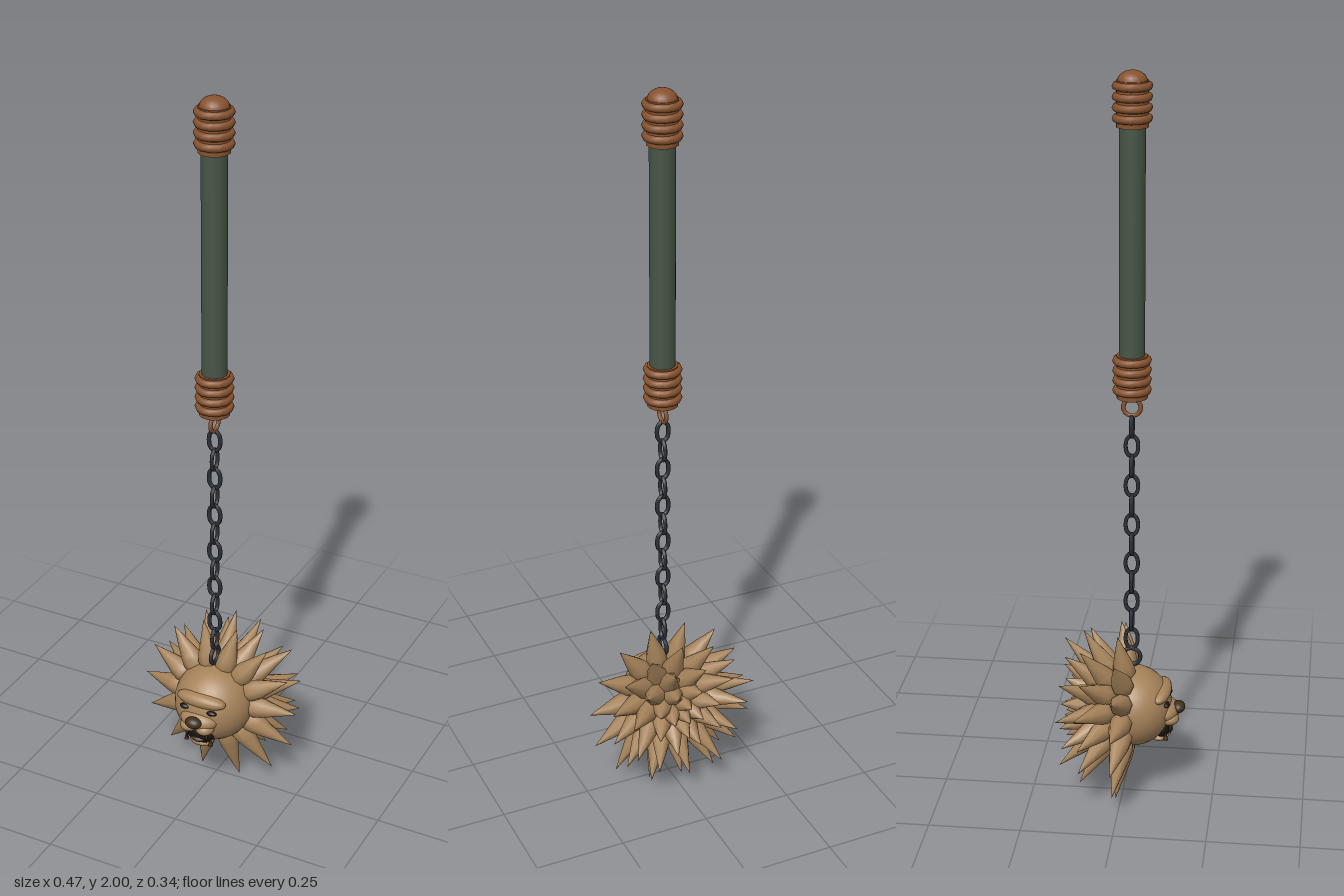
import * as THREE from 'three';

const mat = (name, color) => {
  const m = new THREE.MeshStandardMaterial({ color });
  m.name = name;
  return m;
};

export function createModel() {
  const leather = mat('brown leather', 0x87522e);
  const green = mat('green grip', 0x465545);
  const iron = mat('dark iron', 0x2b3038);
  const fur = mat('tan', 0xa6835a);
  const nose = mat('dark brown', 0x3f301d);
  const black = mat('mouth black', 0x17130f);

  const model = new THREE.Group();
  model.name = 'flail';
  const CX = 0.006, CZ = 0.023;

  const add = (parent, name, geo, material, x = 0, y = 0, z = 0) => {
    const m = new THREE.Mesh(geo, material);
    m.name = name;
    m.position.set(x, y, z);
    parent.add(m);
    return m;
  };
  const blob = (parent, name, material, p, s) => {
    const m = add(parent, name, new THREE.SphereGeometry(1, 20, 14), material, ...p);
    m.scale.set(...s);
    return m;
  };

  // Handle: grip, two wound collars and a domed end
  const handle = new THREE.Group();
  handle.name = 'handle';
  handle.position.set(CX, 0, CZ);
  model.add(handle);
  add(handle, 'grip', new THREE.CylinderGeometry(0.0335, 0.0335, 0.66, 20), green, 0, 1.565, 0);
  for (const [name, base] of [['lowerCollar', 1.155], ['upperCollar', 1.86]]) {
    add(handle, name, new THREE.CylinderGeometry(0.041, 0.041, 0.115, 14), leather, 0, base + 0.0575, 0);
    for (let i = 0; i < 4; i++) {
      const band = add(handle, name + 'Band', new THREE.TorusGeometry(0.041, 0.0105, 8, 14), leather, 0, base + 0.022 + i * 0.0265, 0);
      band.rotation.x = Math.PI / 2;
    }
  }
  blob(handle, 'endDome', leather, [0, 1.972, 0], [0.038, 0.028, 0.038]);
  const eye = add(handle, 'handleRing', new THREE.TorusGeometry(0.023, 0.006, 8, 18), leather, 0, 1.128, 0);
  eye.rotation.y = Math.PI / 2;

  // Chain of alternating oval links
  const chain = new THREE.Group();
  chain.name = 'chain';
  chain.position.set(CX, 0, CZ);
  model.add(chain);
  const linkPath = new THREE.CatmullRomCurve3(
    [[0, 0.029], [0.0125, 0.02], [0.0165, 0], [0.0125, -0.02], [0, -0.029], [-0.0125, -0.02], [-0.0165, 0], [-0.0125, 0.02]]
      .map(([x, y]) => new THREE.Vector3(x, y, 0)), true);
  const linkGeo = new THREE.TubeGeometry(linkPath, 24, 0.0058, 6, true);
  for (let i = 0; i < 12; i++) {
    const link = add(chain, 'chainLink', linkGeo, iron, 0, 1.076 - i * 0.0555, 0);
    link.rotation.y = (i % 2) * Math.PI / 2;
  }
  const staple = add(chain, 'headRing', new THREE.TorusGeometry(0.024, 0.006, 8, 18), iron, 0, 0.412, 0);
  staple.rotation.y = Math.PI / 2;

  // Head: ball with a beast's face in front
  const head = new THREE.Group();
  head.name = 'head';
  head.position.set(CX, 0.265, CZ);
  model.add(head);
  add(head, 'ball', new THREE.SphereGeometry(0.112, 28, 20), fur);
  const brow = blob(head, 'brow', fur, [0, 0.047, 0.08], [0.074, 0.023, 0.031]);
  brow.rotation.x = -0.3;
  blob(head, 'muzzle', fur, [0, -0.008, 0.094], [0.055, 0.029, 0.037]);
  blob(head, 'nose', nose, [0, 0.001, 0.13], [0.024, 0.016, 0.018]);
  blob(head, 'mouth', black, [0, -0.058, 0.085], [0.042, 0.03, 0.024]);
  blob(head, 'lowerJaw', fur, [0, -0.086, 0.078], [0.034, 0.013, 0.026]);
  blob(head, 'tongue', nose, [0, -0.068, 0.098], [0.022, 0.009, 0.017]);
  for (const s of [-1, 1]) {
    blob(head, 'cheek', fur, [s * 0.024, -0.024, 0.106], [0.026, 0.018, 0.027]);
    blob(head, 'eye', black, [s * 0.041, 0.026, 0.1], [0.015, 0.007, 0.009]);
    const upper = add(head, 'upperFang', new THREE.ConeGeometry(0.007, 0.034, 8), nose, s * 0.03, -0.054, 0.11);
    upper.rotation.x = Math.PI;
    add(head, 'lowerFang', new THREE.ConeGeometry(0.007, 0.028, 8), nose, s * 0.037, -0.07, 0.098);
  }

  // Mane of leaf-shaped spikes in rings: [backward tilt, count, length, thickness, turn, droop]
  const mane = new THREE.Group();
  mane.name = 'mane';
  head.add(mane);
  const rings = [
    [8, 14, 0.238, 0.031, 0, 1],
    [31, 14, 0.25, 0.031, Math.PI / 14, 0],
    [47, 11, 0.25, 0.031, 0.15, 0],
    [62, 8, 0.208, 0.03, 0.4, 0],
    [76, 4, 0.186, 0.027, 0.1, 0],
    [90, 1, 0.178, 0.024, 0, 0],
  ];
  const up = new THREE.Vector3(0, 1, 0);
  for (const [tilt, count, len, r, turn, droop] of rings) {
    const t = THREE.MathUtils.degToRad(tilt);
    for (let i = 0; i < count; i++) {
      const a = turn + (i / count) * Math.PI * 2;
      const s = Math.sin(a);
      // the outer ring hangs a little longer below
      const L = len * (1 + droop * (0.07 * s * s - 0.08 * s) + (1 - droop) * 0.04 * Math.sin(i * 2.4 + tilt));
      const profile = [[0.008, 0.07], [r * 0.8, 0.095], [r, 0.118], [r * 0.9, 0.118 + (L - 0.118) * 0.2], [r * 0.52, 0.118 + (L - 0.118) * 0.55], [0, L]]
        .map(([x, y]) => new THREE.Vector2(x, y));
      const spike = add(mane, 'spike', new THREE.LatheGeometry(profile, 8), fur);
      const dir = new THREE.Vector3(Math.cos(a) * Math.cos(t), s * Math.cos(t), -Math.sin(t));
      spike.quaternion.setFromUnitVectors(up, dir);
    }
  }
  return model;
}
